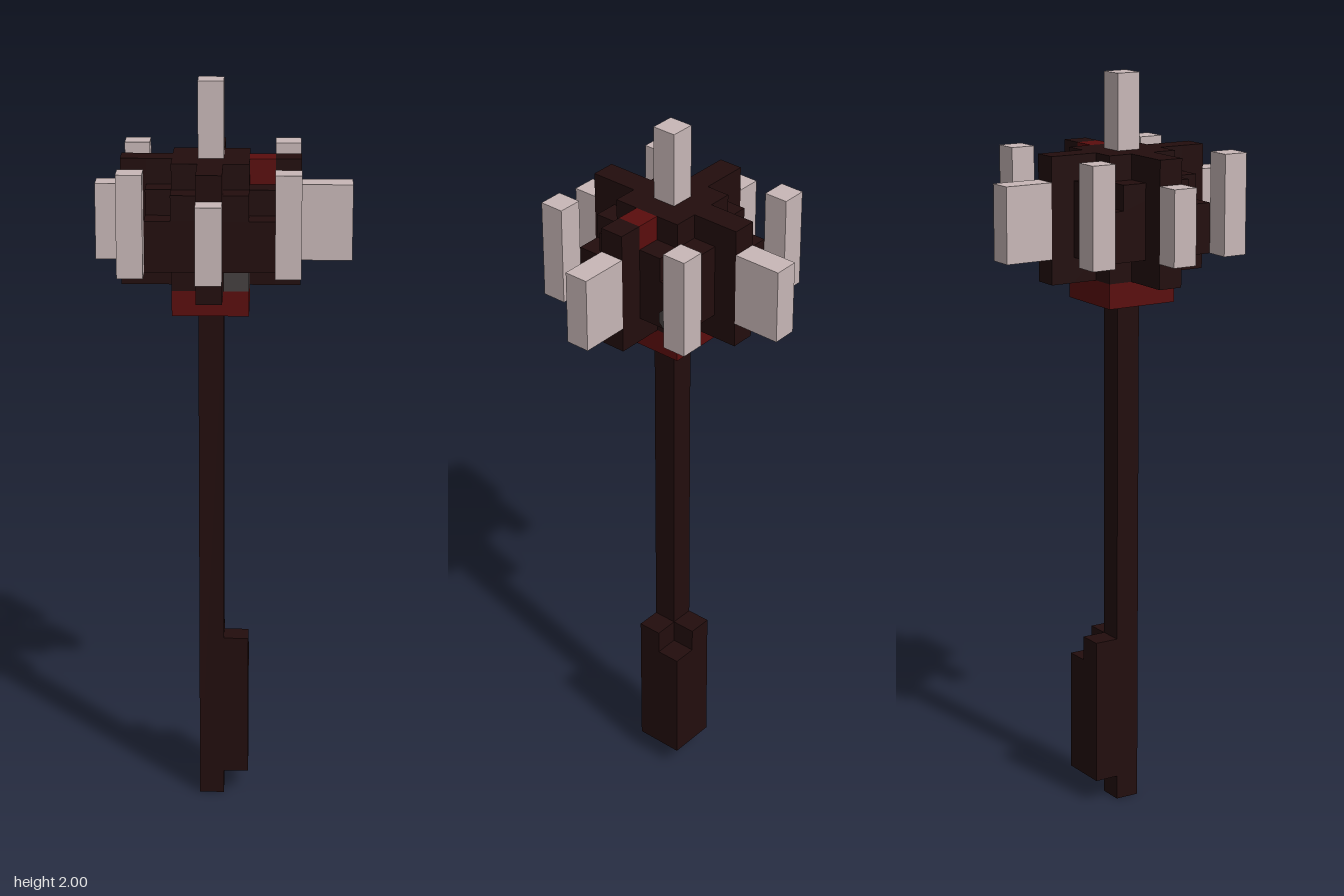
import * as THREE from 'three';

const U = 1 / 15; // edge of one block

const paint = (name, color) => {
  const m = new THREE.MeshStandardMaterial({ color });
  m.name = name;
  return m;
};

export function createModel() {
  const model = new THREE.Group();
  model.name = 'mace';
  const dark = paint('darkWood', 0x220d0d);
  const red = paint('deepRed', 0x5a0d0d);
  const bone = paint('paleBone', 0xc8b7b7);
  const grey = paint('greyStone', 0x454040);

  // Box covering whole blocks from a to b inclusive; the shaft is block column (0, 0)
  const block = (name, mat, a, b) => {
    const size = a.map((v, n) => (b[n] - v + 1) * U);
    const mid = a.map((v, n) => ((v + b[n] + 1) / 2) * U);
    const mesh = new THREE.Mesh(new THREE.BoxGeometry(...size), mat);
    mesh.position.set(mid[0] - U, mid[1], mid[2]);
    mesh.name = name;
    model.add(mesh);
    return mesh;
  };

  // Shaft and grip
  block('shaft', dark, [0, 0, 0], [0, 20, 0]);
  block('gripSide', dark, [1, 1, 0], [1, 6, 0]);
  block('gripBack', dark, [0, 1, -1], [0, 6, -1]);
  block('gripCorner', dark, [1, 1, -1], [1, 5, -1]);

  // Collar and underside of the head
  block('collar', red, [-1, 21, -1], [1, 21, 1]);
  block('headBaseBack', dark, [-1, 22, -1], [1, 22, 0]);
  block('headBaseFront', dark, [-1, 22, 1], [0, 22, 1]);
  block('baseStone', grey, [1, 22, 1], [1, 22, 1]);

  // Rounded head core
  block('headCore', dark, [-2, 23, -2], [2, 24, 2]);
  block('headShoulderX', dark, [-2, 25, -1], [2, 25, 1]);
  for (const k of [-2, 2]) block('headShoulderZ', dark, [-1, 25, k], [1, 25, k]);
  block('headTop', dark, [-1, 26, -1], [1, 26, 1]);

  // Four ribs running up the sides, with one red block on top
  for (const s of [-1, 1]) {
    block('ribX', dark, [3 * s, 22, 0], [3 * s, 26, 0]);
    block('ribZ', dark, [0, 22, 3 * s], [0, 26, 3 * s]);
    block('ribFootX', dark, [2 * s, 22, 0], [2 * s, 22, 0]);
    block('ribFootZ', dark, [0, 22, 2 * s], [0, 22, 2 * s]);
    block('ribTopX', s > 0 ? red : dark, [2 * s, 26, 0], [2 * s, 26, 0]);
    block('ribTopZ', dark, [0, 26, 2 * s], [0, 26, 2 * s]);
  }

  // Bone spikes: top, four corners and four sides
  block('topSpike', bone, [0, 27, 0], [0, 29, 0]);
  for (const i of [-3, 3])
    for (const k of [-3, 3]) block('cornerSpike', bone, [i, 23, k], [i, 26, k]);
  block('leftSpike', bone, [4, 23, 0], [5, 25, 0]);
  block('rightSpike', bone, [-4, 23, 0], [-4, 25, 0]);
  block('frontSpike', bone, [0, 23, 4], [0, 25, 4]);
  block('backSpike', bone, [0, 23, -5], [0, 25, -4]);

  // Small stone stud on the left side
  const stud = new THREE.Mesh(new THREE.CylinderGeometry(U * 0.52, U * 0.52, 0.008, 8), grey);
  stud.rotation.set(Math.PI / 8, 0, Math.PI / 2);
  stud.position.set(2 * U + 0.003, 23.5 * U, -1.5 * U);
  stud.name = 'sideStud';
  model.add(stud);

  return model;
}
